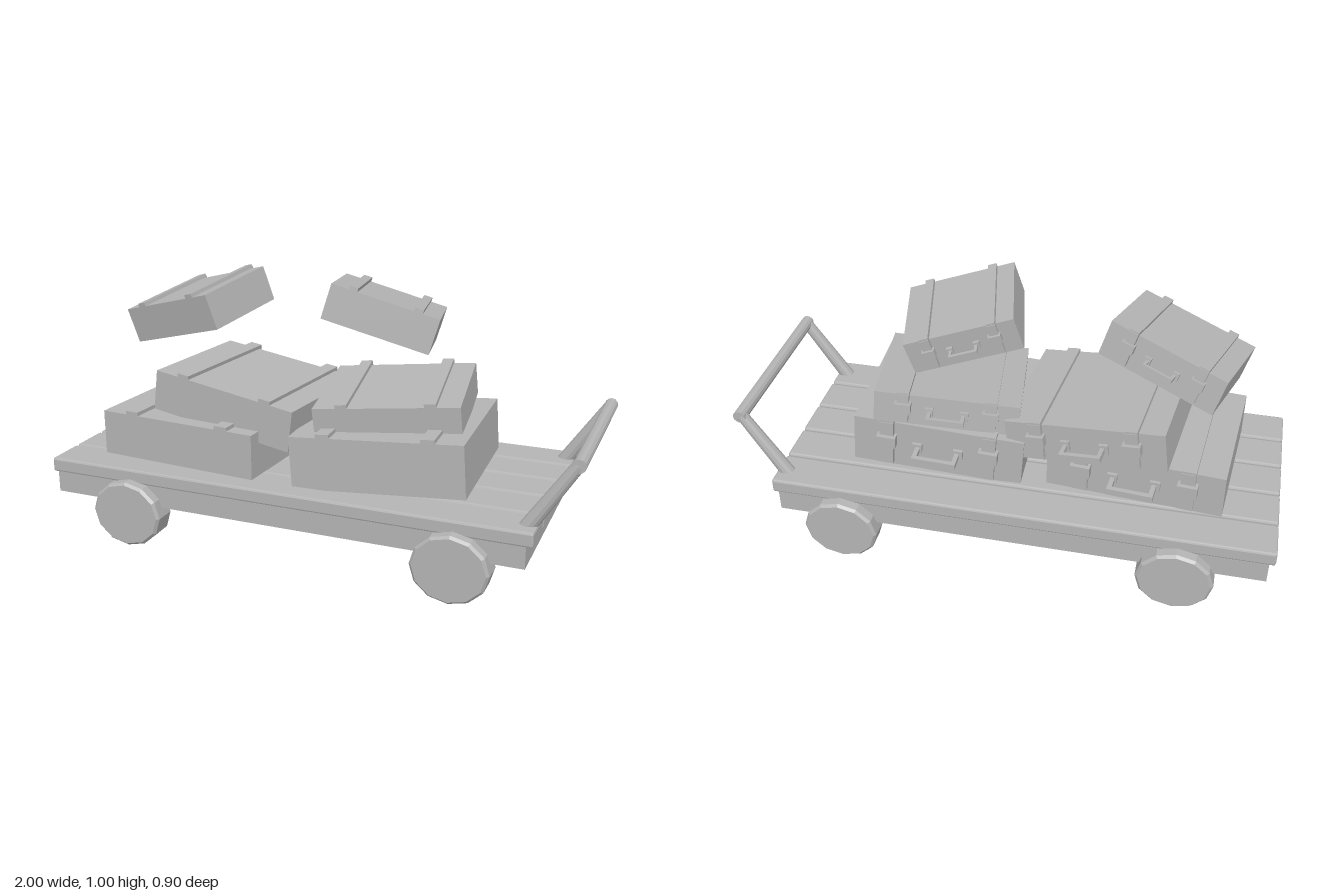
import * as THREE from 'three';
import { RoundedBoxGeometry } from 'three/addons/geometries/RoundedBoxGeometry.js';

export function createModel() {
  const model = new THREE.Group();
  model.name = 'luggageCart';
  const grey = new THREE.MeshStandardMaterial({ color: 0xb4b4b4, flatShading: true });
  grey.name = 'grey';

  function add(parent, name, geometry, x = 0, y = 0, z = 0) {
    const mesh = new THREE.Mesh(geometry, grey);
    mesh.name = name;
    mesh.position.set(x, y, z);
    parent.add(mesh);
    return mesh;
  }
  const box = (w, h, d) => new THREE.BoxGeometry(w, h, d);

  // Tapered round bar between two points
  function bar(parent, name, a, b, r0, r1) {
    const from = new THREE.Vector3(...a), to = new THREE.Vector3(...b);
    const dir = to.clone().sub(from);
    const mesh = add(parent, name, new THREE.CylinderGeometry(r1, r0, dir.length(), 12));
    mesh.position.copy(from).add(to).multiplyScalar(0.5);
    mesh.quaternion.setFromUnitVectors(new THREE.Vector3(0, 1, 0), dir.normalize());
  }

  // Cart bed: frame and five planks
  add(model, 'bedFrame', box(1.81, 0.08, 0.81), -0.073, 0.197, 0);
  for (let i = -2; i <= 2; i++) {
    add(model, 'plank', new RoundedBoxGeometry(1.855, 0.055, 0.155, 1, 0.008), -0.0725, 0.262, i * 0.1645);
  }

  // Wheels with a small bevel on the outer rim, and axles
  const wheelProfile = [[0, 0], [0.14, 0], [0.14, 0.08], [0.13, 0.09], [0, 0.09]]
    .map(p => new THREE.Vector2(...p));
  const wheelShape = new THREE.LatheGeometry(wheelProfile, 12).rotateX(Math.PI / 2);
  wheelShape.scale(1, 0.9, 1);
  for (const x of [-0.66, 0.585]) {
    bar(model, 'axle', [x, 0.126, -0.37], [x, 0.126, 0.37], 0.03, 0.03);
    for (const side of [-1, 1]) {
      const wheel = add(model, 'wheel', wheelShape, x, 0.126, side * 0.36);
      if (side < 0) wheel.rotation.y = Math.PI;
    }
  }

  // Push handle
  for (const side of [-1, 1]) {
    bar(model, 'handlePost', [0.815, 0.275, side * 0.332], [0.972, 0.517, side * 0.327], 0.028, 0.022);
  }
  bar(model, 'handleGrip', [0.974, 0.517, -0.345], [0.974, 0.517, 0.345], 0.024, 0.024);

  // Suitcase with its carrying handle on the back, placed by its width and back directions
  function suitcase(name, [w, h, d], centre, across, back) {
    const g = new THREE.Group();
    g.name = name;
    const s = w / 0.62;
    add(g, 'caseBody', box(w, h, d));
    for (const side of [-1, 1]) {
      const x = side * w * 0.3;
      // strap over the lid and down the back, with buckle
      add(g, 'lidStrap', box(0.05 * s, 0.016, d + 0.015), x, h / 2 + 0.006, -0.0075);
      add(g, 'backStrap', box(0.05 * s, h * 0.95, 0.02), x, 0.01, -d / 2 - 0.008);
      add(g, 'buckle', box(0.07 * s, 0.045 * s, 0.035 * s), x, h * 0.12, -d / 2 - 0.016);
      // handle mounts and arms
      add(g, 'handleMount', box(0.035 * s, 0.04 * s, 0.014), side * 0.075 * s, 0, -d / 2 - 0.006);
      add(g, 'handleArm', box(0.016 * s, 0.02 * s, 0.07 * s), side * 0.072 * s, 0, -d / 2 - 0.034 * s);
    }
    add(g, 'carryHandle', box(0.16 * s, 0.024 * s, 0.018 * s), 0, 0, -d / 2 - 0.072 * s);
    const xAxis = new THREE.Vector3(...across).normalize();
    const zAxis = new THREE.Vector3(...back).negate();
    const yAxis = zAxis.clone().cross(xAxis).normalize();
    zAxis.crossVectors(xAxis, yAxis);
    g.quaternion.setFromRotationMatrix(new THREE.Matrix4().makeBasis(xAxis, yAxis, zAxis));
    g.position.set(...centre);
    model.add(g);
  }

  suitcase('lowerRightCase', [0.65, 0.17, 0.53], [-0.495, 0.375, 0.04], [1, 0, 0.08], [0.08, 0, -1]);
  suitcase('lowerLeftCase', [0.635, 0.195, 0.55], [0.265, 0.4, 0.04], [1, 0.07, -0.04], [-0.04, 0, -1]);
  suitcase('upperRightCase', [0.59, 0.155, 0.5], [-0.32, 0.515, 0.01], [1, -0.13, 0.11], [0.11, 0, -1]);
  suitcase('upperLeftCase', [0.53, 0.12, 0.45], [0.25, 0.548, 0], [1, 0.09, -0.14], [-0.14, 0.08, -1]);
  suitcase('topRightCase', [0.44, 0.135, 0.34], [-0.575, 0.832, -0.035], [0.41, 0.115, 0.12], [0.075, 0.053, -0.33]);
  suitcase('topLeftCase', [0.4, 0.13, 0.345], [0.187, 0.866, -0.033], [0.375, -0.112, -0.07], [-0.075, -0.03, -0.33]);

  return model;
}
